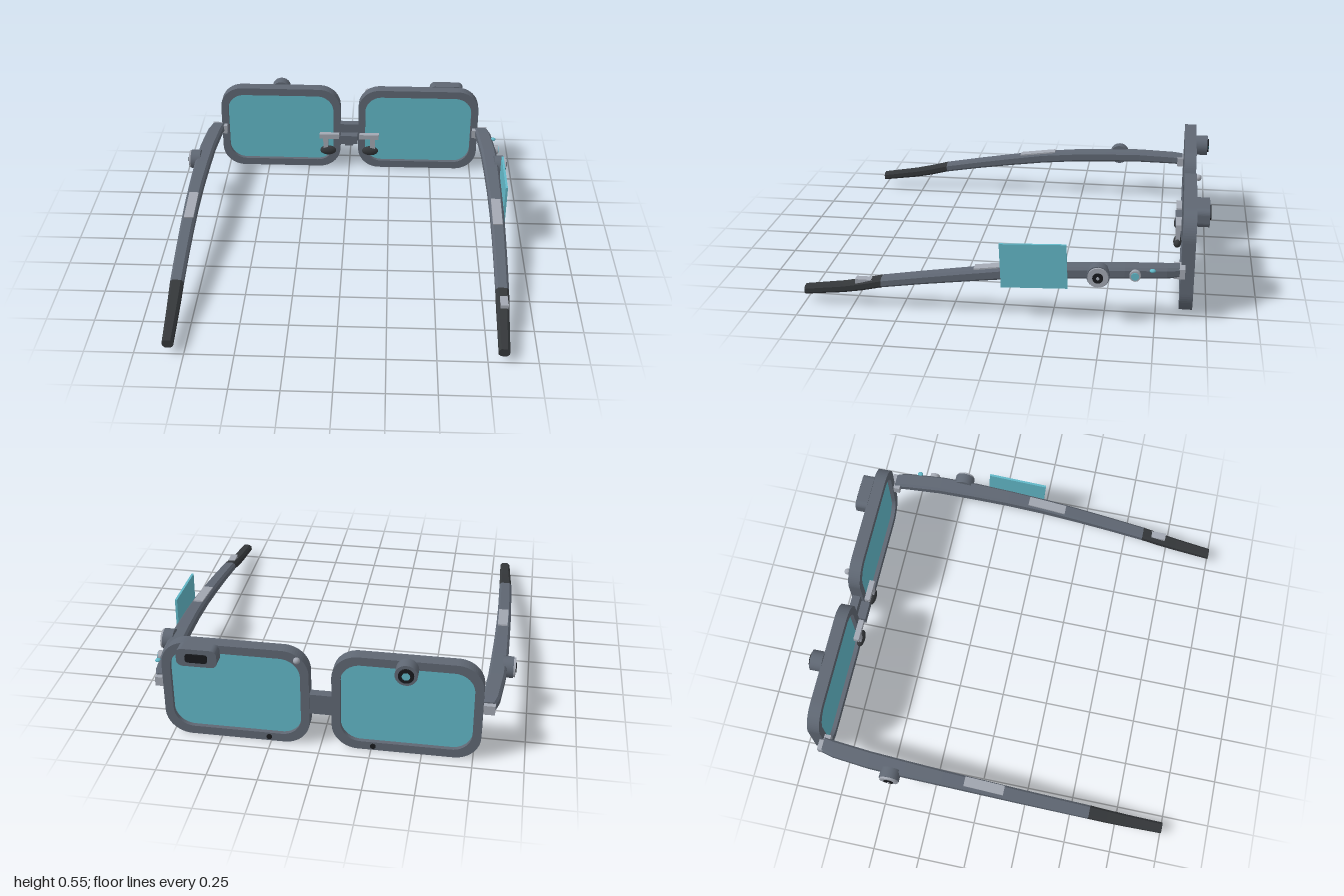
import * as THREE from 'three';

const mat = (name, color) => {
  const m = new THREE.MeshStandardMaterial({ color });
  m.name = name;
  return m;
};

export function createModel() {
  const group = new THREE.Group();
  const slate = mat('slate frame', 0x5f6773);
  const dark = mat('dark rubber', 0x34373a);
  const metal = mat('light metal', 0xa3a8b2);
  const teal = mat('teal glass', 0x62b8c8);
  const black = mat('black', 0x181a1d);

  const add = (name, geometry, material, x = 0, y = 0, z = 0) => {
    const m = new THREE.Mesh(geometry, material);
    m.name = name;
    m.position.set(x, y, z);
    group.add(m);
    return m;
  };
  const box = (name, material, w, h, d, x, y, z) =>
    add(name, new THREE.BoxGeometry(w, h, d), material, x, y, z);

  // Cylinder lying along x or z, centred on the given point
  const disc = (name, material, r, len, axis, x, y, z) => {
    const g = new THREE.CylinderGeometry(r, r, len, 24);
    if (axis === 'x') g.rotateZ(Math.PI / 2);
    else g.rotateX(Math.PI / 2);
    return add(name, g, material, x, y, z);
  };

  // Rounded rectangle outline, centred on the origin
  const outline = (path, w, h, r) => {
    const a = w / 2, b = h / 2;
    path.moveTo(-a + r, -b);
    path.lineTo(a - r, -b);
    path.absarc(a - r, -b + r, r, -Math.PI / 2, 0, false);
    path.lineTo(a, b - r);
    path.absarc(a - r, b - r, r, 0, Math.PI / 2, false);
    path.lineTo(-a + r, b);
    path.absarc(-a + r, b - r, r, Math.PI / 2, Math.PI, false);
    path.lineTo(-a, -b + r);
    path.absarc(-a + r, -b + r, r, Math.PI, Math.PI * 1.5, false);
    return path;
  };
  const slab = (w, h, r, depth, hole) => {
    const s = outline(new THREE.Shape(), w, h, r);
    if (hole) s.holes.push(outline(new THREE.Path(), ...hole));
    const g = new THREE.ExtrudeGeometry(s, { depth, bevelEnabled: false, curveSegments: 8 });
    return g.translate(0, 0, -depth / 2);
  };

  // Temple stations: z, centre y, centre x, width, height
  const stations = [
    [-0.86, 0.268, 0.805, 0.08, 0.052], [-0.8, 0.268, 0.818, 0.086, 0.054],
    [-0.6, 0.266, 0.836, 0.088, 0.058], [-0.4, 0.257, 0.843, 0.086, 0.06],
    [-0.2, 0.245, 0.846, 0.08, 0.06], [0, 0.226, 0.847, 0.076, 0.06],
    [0.2, 0.198, 0.846, 0.073, 0.056], [0.4, 0.168, 0.843, 0.071, 0.052],
    [0.6, 0.135, 0.839, 0.069, 0.05], [0.7, 0.11, 0.836, 0.066, 0.05],
    [0.8, 0.09, 0.833, 0.062, 0.048], [1, 0.062, 0.826, 0.056, 0.044],
  ];
  const loft = (rows, side) => {
    const rings = rows.map(([z, y, x, w, h]) => {
      const a = w / 2, b = h / 2, c = 0.012;
      return [[a, -b + c], [a, b - c], [a - c, b], [-a + c, b],
        [-a, b - c], [-a, -b + c], [-a + c, -b], [a - c, -b]]
        .map(([px, py]) => [side * x + px, y + py, z]);
    });
    const pos = [];
    const tri = (...pts) => pts.forEach((p) => pos.push(...p));
    for (let i = 0; i < rings.length - 1; i++) {
      for (let j = 0; j < 8; j++) {
        const k = (j + 1) % 8, p = rings[i], q = rings[i + 1];
        tri(p[j], p[k], q[k]);
        tri(p[j], q[k], q[j]);
      }
    }
    const first = rings[0], last = rings[rings.length - 1];
    for (let j = 1; j < 7; j++) {
      tri(first[0], first[j + 1], first[j]);
      tri(last[0], last[j], last[j + 1]);
    }
    const g = new THREE.BufferGeometry();
    g.setAttribute('position', new THREE.Float32BufferAttribute(pos, 3));
    g.computeVertexNormals();
    return g;
  };

  // Parts repeated on both sides
  for (const s of [1, -1]) {
    add('rim', slab(0.73, 0.53, 0.13, 0.065, [0.645, 0.44, 0.1]), slate, s * 0.42, 0.265, -0.898);
    add('lens', slab(0.65, 0.445, 0.1, 0.02), teal, s * 0.42, 0.265, -0.898);
    disc('microphone', black, 0.014, 0.008, 'z', s * 0.26, 0.023, -0.932);

    box('hinge', metal, 0.09, 0.05, 0.055, s * 0.797, 0.262, -0.858);
    add('temple', loft(stations.slice(0, 9), s), slate);
    add('templeTip', loft(stations.slice(8), s), dark);
    const strip = box('templeInlay', metal, 0.052, 0.008, 0.215, s * 0.843, 0.254, 0.027);
    strip.rotation.x = 0.13;

    // Round side module
    disc('sideModule', slate, 0.055, 0.055, 'x', s * 0.8875, 0.258, -0.475);
    disc('sideModuleRing', metal, 0.05, 0.012, 'x', s * 0.92, 0.258, -0.475);
    disc('sideModuleCentre', black, 0.026, 0.006, 'x', s * 0.928, 0.258, -0.475);
    disc('sideModuleDot', metal, 0.008, 0.004, 'x', s * 0.931, 0.258, -0.475);

    // Nose pad on its bracket
    box('noseBracket', metal, 0.12, 0.03, 0.03, s * 0.122, 0.225, -0.85);
    box('noseStem', metal, 0.03, 0.09, 0.025, s * 0.145, 0.17, -0.848);
    const pad = add('nosePad', new THREE.SphereGeometry(1, 20, 14), dark, s * 0.13, 0.125, -0.847);
    pad.scale.set(0.05, 0.03, 0.022);
  }

  // Bridge
  box('bridge', slate, 0.12, 0.11, 0.045, 0, 0.235, -0.902);
  box('bridgeBlock', slate, 0.104, 0.055, 0.05, 0, 0.206, -0.856);
  box('bridgeFoot', slate, 0.05, 0.02, 0.04, 0, 0.174, -0.86);

  // Round camera on the outer face
  disc('cameraBody', slate, 0.055, 0.065, 'z', -0.42, 0.49, -0.96);
  disc('cameraRing', black, 0.038, 0.01, 'z', -0.42, 0.49, -0.995);
  disc('cameraLens', teal, 0.02, 0.004, 'z', -0.42, 0.49, -1);

  // Wide sensor housing
  add('sensorHousing', slab(0.2, 0.095, 0.03, 0.065), slate, 0.588, 0.487, -0.96);
  add('sensorWindow', slab(0.11, 0.045, 0.015, 0.009), black, 0.588, 0.487, -0.995);

  // Indicator light
  add('indicator', new THREE.SphereGeometry(0.017, 14, 10), metal, 0.11, 0.488, -0.94);

  // Side display and controls on the left temple
  const display = box('sideDisplay', teal, 0.012, 0.228, 0.325, 0.89, 0.286, -0.162);
  display.rotation.x = 0.04;
  disc('buttonRing', metal, 0.027, 0.022, 'x', 0.884, 0.263, -0.65);
  disc('button', teal, 0.019, 0.006, 'x', 0.896, 0.263, -0.65);
  const key = add('smallButton', new THREE.SphereGeometry(0.015, 14, 10), teal, 0.872, 0.287, -0.732);
  key.scale.set(1, 0.6, 1);
  box('chargeContact', metal, 0.04, 0.042, 0.13, 0.842, 0.126, 0.668);

  return group;
}
